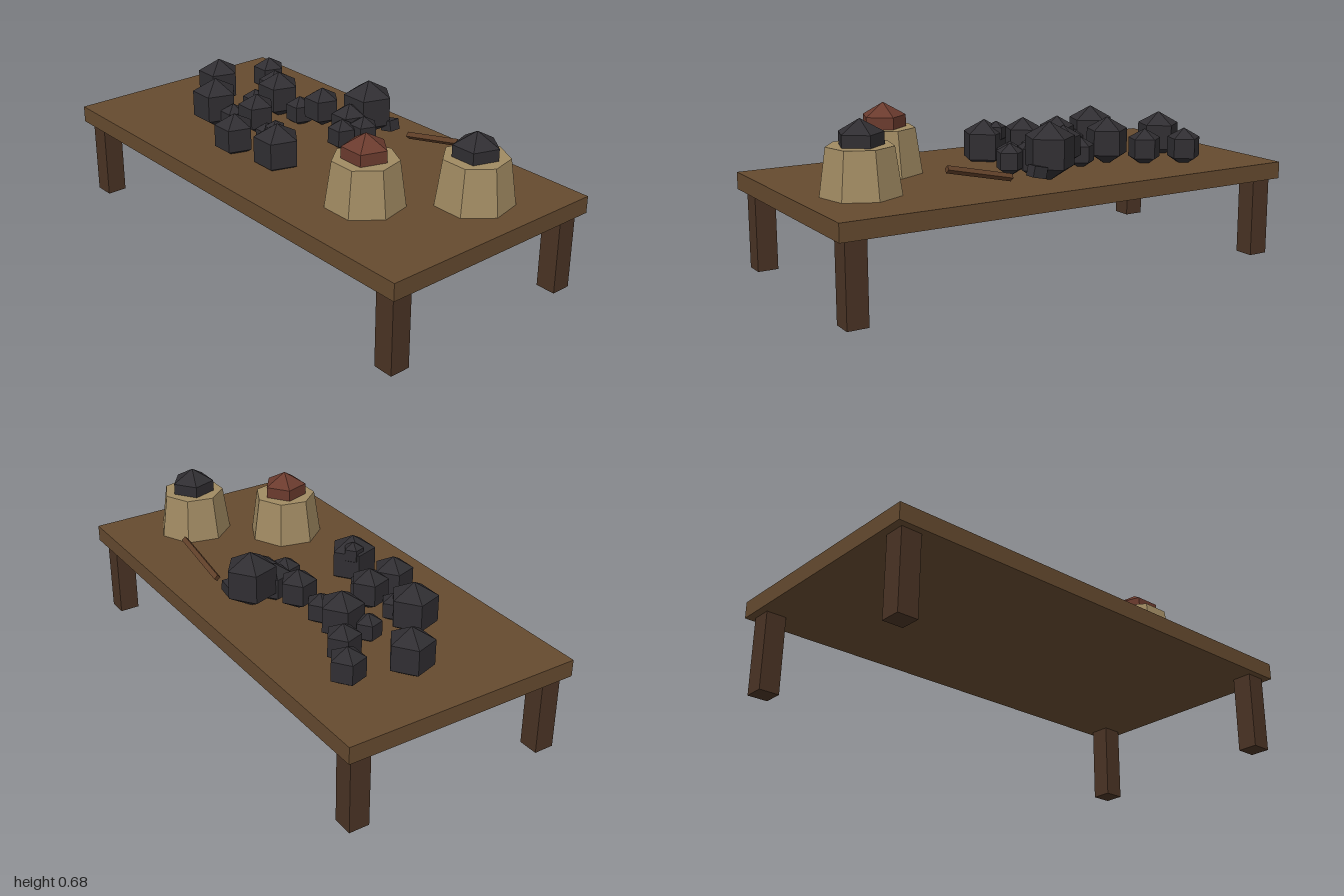
import * as THREE from 'three';

const mat = (color) => new THREE.MeshStandardMaterial({ color, flatShading: true, roughness: 0.9 });

export function createModel() {
  const model = new THREE.Group();
  const wood = mat(0x654a2f), legWood = mat(0x4a3324), stickWood = mat(0x5f3f28);
  const dark = mat(0x302e32), red = mat(0x6b3b2e), clay = mat(0xa08a62);

  const add = (name, geometry, material, x, y, z, parent = model) => {
    const mesh = new THREE.Mesh(geometry, material);
    mesh.name = name;
    mesh.position.set(x, y, z);
    parent.add(mesh);
    return mesh;
  };

  // Table top and four legs
  const topY = 0.395, thickness = 0.07;
  add('tableTop', new THREE.BoxGeometry(2, thickness, 1), wood, 0, topY - thickness / 2, 0);
  const legHeight = topY - thickness;
  for (const sx of [-1, 1]) {
    for (const sz of [-1, 1]) {
      add('leg', new THREE.BoxGeometry(0.085, legHeight, 0.085), legWood, sx * 0.927, legHeight / 2, sz * 0.43);
    }
  }

  // Five-sided lump with one corner towards the back
  const lump = (name, material, r, x, y, z, parent) =>
    add(name, new THREE.SphereGeometry(r, 5, 3).rotateY(-Math.PI / 2), material, x, y, z, parent);

  // Loose lumps on the table: radius, x, y, z
  const pile = new THREE.Group();
  pile.name = 'lumpPile';
  model.add(pile);
  const lumps = [
    [0.081, -0.663, 0.458, -0.28], [0.08, -0.519, 0.457, -0.2], [0.104, -0.719, 0.468, -0.04],
    [0.11, -0.487, 0.483, 0.146], [0.062, -0.385, 0.442, 0.13], [0.088, -0.273, 0.485, 0.09],
    [0.052, -0.166, 0.435, 0.122], [0.094, -0.206, 0.456, 0.255], [0.108, 0.016, 0.458, 0.21],
    [0.049, -0.027, 0.51, 0.184], [0.102, -0.385, 0.485, -0.117], [0.062, -0.46, 0.442, -0.045],
    [0.067, -0.249, 0.448, -0.122], [0.085, -0.139, 0.494, -0.154], [0.118, 0.011, 0.506, -0.28],
    [0.085, 0.011, 0.463, -0.175], [0.067, 0.117, 0.463, -0.159], [0.067, 0.07, 0.455, -0.083],
  ];
  for (const [r, x, y, z] of lumps) lump('lump', dark, r, x, y, z, pile);

  // Seven-sided pots, each holding one lump
  const potHeight = 0.185;
  for (const [x, z, fill] of [[0.75, -0.141, dark], [0.5, 0.18, red]]) {
    const pot = new THREE.Group();
    pot.name = 'filledPot';
    pot.position.set(x, topY, z);
    model.add(pot);
    add('pot', new THREE.CylinderGeometry(0.13, 0.157, potHeight, 7).rotateY(Math.PI), clay, 0, potHeight / 2, 0, pot);
    lump('potContents', fill, 0.105, 0, 0.18, 0, pot);
  }

  // Small tool: tilted handle and a separate block head
  const tilt = 0.217;
  const handle = add('toolHandle', new THREE.CylinderGeometry(0.015, 0.015, 0.285, 4).rotateZ(-Math.PI / 2),
    stickWood, 0.351, 0.462, -0.323);
  handle.rotation.z = tilt;
  const head = add('toolHead', new THREE.BoxGeometry(0.06, 0.045, 0.05), dark, 0.097, 0.442, -0.325);
  head.rotation.z = tilt;

  return model;
}
